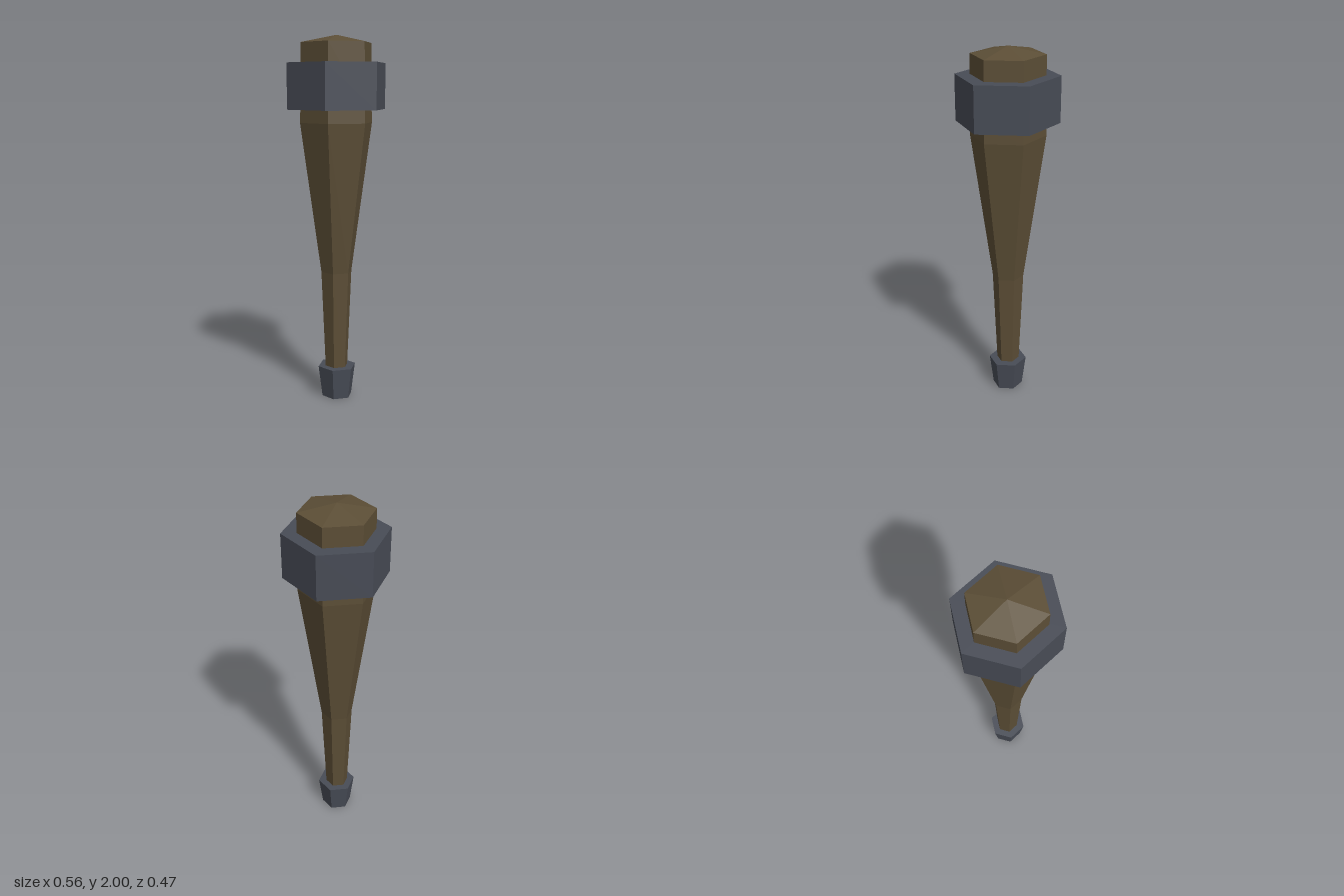
import * as THREE from 'three';

export function createModel() {
  const wood = new THREE.MeshStandardMaterial({ name: 'dark wood', color: 0x5c4e36, flatShading: true });
  const metal = new THREE.MeshStandardMaterial({ name: 'dark metal', color: 0x484c56, flatShading: true });
  const model = new THREE.Group();
  model.name = 'club';

  // Six-sided solid from a [radius, height] profile, listed bottom to top, with corners on the x axis
  function hexSolid(name, profile, material, x = 0) {
    const points = profile.map(([r, y]) => new THREE.Vector2(r, y));
    const geometry = new THREE.LatheGeometry(points, 6, Math.PI / 2);
    geometry.scale(1, 1, 0.96);
    const mesh = new THREE.Mesh(geometry, material);
    mesh.name = name;
    mesh.position.x = x;
    model.add(mesh);
  }

  // Tapered handle widening into the head, with a shallow pointed top
  hexSolid('shaft', [
    [0, 0.1], [0.062, 0.1], [0.065, 0.175], [0.089, 0.72], [0.207, 1.54],
    [0.204, 1.63], [0.2, 1.96], [0, 2],
  ], wood, -0.003);

  // Band around the head
  hexSolid('headBand', [[0, 1.61], [0.281, 1.61], [0.281, 1.855], [0, 1.855]], metal);

  // Flared cap at the foot of the handle
  hexSolid('pommel', [[0, 0], [0.087, 0], [0.11, 0.175], [0, 0.175]], metal);

  return model;
}
